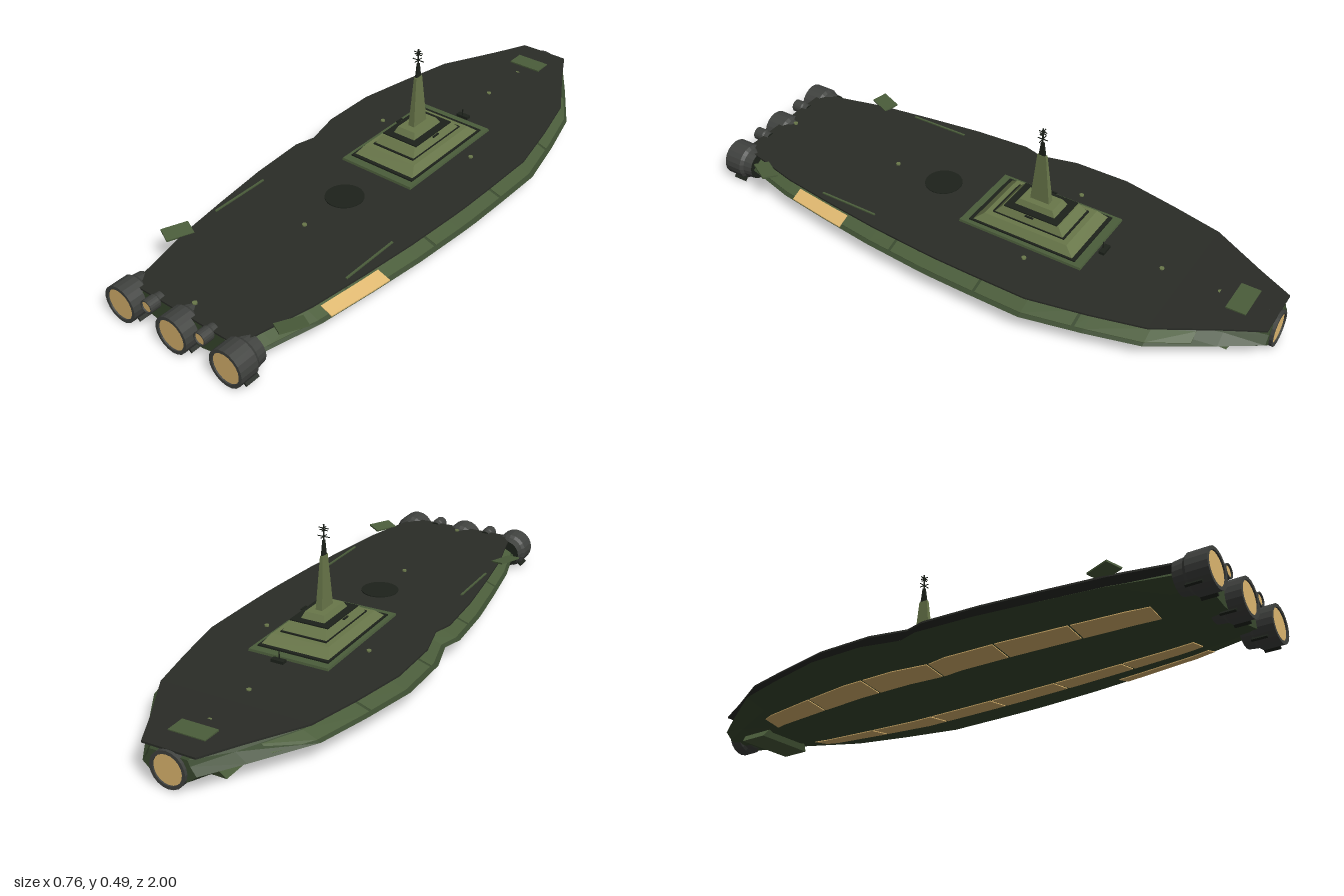
import * as THREE from 'three';

const mat = (color) => new THREE.MeshStandardMaterial({ color, flatShading: true, side: THREE.DoubleSide });
const DECK = mat(0x2a2c27), HULL = mat(0x3a4a2f), GREEN = mat(0x4b5d3b), LIGHT = mat(0x69774a),
  DARK = mat(0x1d221b), METAL = mat(0x40423f), GLOW = mat(0xdfb870);

// Hull plan: z, half width on -x, half width on +x
const PLAN = [[-0.99, 0.09, 0.09], [-0.87, 0.17, 0.17], [-0.68, 0.29, 0.29], [-0.5, 0.338, 0.338],
  [-0.3, 0.382, 0.382], [-0.1, 0.382, 0.38], [0.03, 0.347, 0.377], [0.1, 0.368, 0.373], [0.3, 0.355, 0.357],
  [0.5, 0.327, 0.332], [0.7, 0.295, 0.302], [0.85, 0.255, 0.262], [0.95, 0.232, 0.237]];
// Half cross-section: fraction of half width, height
const LOWER = [[0.3, 0.025], [0.72, 0.045], [1, 0.067]];
const UPPER = [[0.7, 0.112], [0.78, 0.094], [1, 0.067]];

const lerp = (table, k, col) => {
  for (let i = 1; i < table.length; i++) {
    const a = table[i - 1], b = table[i];
    if (k <= b[0] || i === table.length - 1) return a[col] + (b[col] - a[col]) * (k - a[0]) / (b[0] - a[0]);
  }
};
const halfWidth = (z, side) => lerp(PLAN, z, side < 0 ? 1 : 2);

// Skin over rings of [x, y, z], counter-clockwise seen from +z, with closed ends
function loft(rings) {
  const pos = [], n = rings[0].length;
  const tri = (a, b, c) => pos.push(...a, ...b, ...c);
  for (let i = 0; i + 1 < rings.length; i++) for (let j = 0; j < n; j++) {
    const a = rings[i][j], b = rings[i][(j + 1) % n], c = rings[i + 1][(j + 1) % n], d = rings[i + 1][j];
    tri(a, b, c);
    tri(a, c, d);
  }
  const first = rings[0], last = rings[rings.length - 1];
  for (let j = 1; j + 1 < n; j++) {
    tri(first[0], first[j + 1], first[j]);
    tri(last[0], last[j], last[j + 1]);
  }
  const g = new THREE.BufferGeometry();
  g.setAttribute('position', new THREE.Float32BufferAttribute(pos, 3));
  g.computeVertexNormals();
  return g;
}

export function createModel() {
  const model = new THREE.Group();
  const add = (name, geo, material, x = 0, y = 0, z = 0, parent = model) => {
    const m = new THREE.Mesh(geo, material);
    m.name = name;
    m.position.set(x, y, z);
    parent.add(m);
    return m;
  };
  const box = (name, w, h, d, material, x, y, z, parent) =>
    add(name, new THREE.BoxGeometry(w, h, d), material, x, y, z, parent);
  const tube = (name, r0, r1, len, material, x, y, z, open = false, parent = model) =>
    add(name, new THREE.CylinderGeometry(r1, r0, len, 20, 1, open).rotateX(Math.PI / 2), material, x, y, z, parent);
  // Truncated pyramid standing on y0
  const tier = (name, y0, y1, bottom, top, material, z) => add(name, loft([[bottom, y0], [top, y1]].map(
    ([[w, d], y]) => [[-w, y, d], [w, y, d], [w, y, -d], [-w, y, -d]])), material, 0, 0, z);

  // Hull: flat keel, sharp side edges, sloping shoulders
  add('hull', loft(PLAN.map(([z, l, r]) => [
    ...LOWER.map(([f, y]) => [f * r, y, z]),
    ...[...UPPER].reverse().map(([f, y]) => [f * r, y, z]),
    ...UPPER.map(([f, y]) => [-f * l, y, z]),
    ...[...LOWER].reverse().map(([f, y]) => [-f * l, y, z])])), HULL);

  // Thin overhanging deck, rising a little at the bow
  add('deck', loft(PLAN.map(([z, l, r]) => {
    const y = 0.112 + 0.01 * Math.max(0, (-z - 0.6) / 0.4), f = z < -0.95 ? 1 : 0.9;
    return [[-f * l, y, z], [f * r, y, z], [f * r, y + 0.006, z], [-f * l, y + 0.006, z]];
  })), DECK);

  // Panels that follow the hull skin
  const panel = (name, profile, side, z0, z1, f0, f1, material, lift) => {
    const zs = [z0, ...PLAN.map((p) => p[0]).filter((z) => z > z0 && z < z1), z1];
    add(name, loft(zs.map((z) => {
      const w = halfWidth(z, side) * side, y0 = lerp(profile, f0, 1) + lift, y1 = lerp(profile, f1, 1) + lift;
      return [[f0 * w, y0, z], [f1 * w, y1, z], [f1 * w, y1 - lift, z], [f0 * w, y0 - lift, z]];
    })), material);
  };
  for (const side of [-1, 1]) {
    for (let i = 0; i < 6; i++) {
      const z = -0.72 + i * 0.25;
      panel('bellyLight', LOWER, side, z, z + 0.243, 0.36, 0.6, GLOW, -0.003);
    }
    for (let i = 0; i < 5; i++) {
      const z = -0.8 + i * 0.34;
      panel('sideArmour', UPPER, side, z, z + 0.33, 0.8, 0.96, GREEN, 0.002);
    }
  }
  panel('edgeLight', UPPER, 1, 0.43, 0.66, 0.86, 0.995, GLOW, 0.004);
  panel('lowerEdgeLight', LOWER, 1, 0.43, 0.76, 0.82, 0.985, GLOW, -0.003);
  for (const [z0, z1] of [[-0.66, -0.2], [-0.05, 0.36], [0.4, 0.74]])
    panel('shoulderLight', UPPER, 1, z0, z1, 0.73, 0.765, GLOW, 0.003);

  // Keel skid below the bow
  tier('keelSkid', 0.005, 0.03, [0.108, 0.05], [0.09, 0.06], GREEN, -0.83);

  // Stepped superstructure and tower
  const C = -0.155;
  tier('basePlate', 0.117, 0.126, [0.145, 0.23], [0.143, 0.228], GREEN, C);
  tier('baseRim', 0.126, 0.131, [0.128, 0.2], [0.128, 0.2], DARK, C);
  tier('lowerTier', 0.131, 0.157, [0.121, 0.187], [0.103, 0.155], LIGHT, C);
  tier('lowerLedge', 0.157, 0.161, [0.084, 0.135], [0.084, 0.135], DARK, C);
  tier('middleTier', 0.161, 0.187, [0.081, 0.128], [0.068, 0.105], LIGHT, C);
  tier('middleLedge', 0.187, 0.191, [0.07, 0.1], [0.07, 0.1], DARK, C);
  tier('upperTier', 0.191, 0.211, [0.043, 0.075], [0.035, 0.062], LIGHT, C);
  tier('tower', 0.211, 0.39, [0.012, 0.035], [0.005, 0.016], LIGHT, C);
  tier('towerHead', 0.39, 0.44, [0.004, 0.012], [0.003, 0.005], DARK, C);
  box('mast', 0.004, 0.055, 0.004, DARK, 0, 0.465, C);
  for (const [y, w] of [[0.452, 0.045], [0.473, 0.028], [0.48, 0.036]]) {
    box('mastBar', w, 0.002, 0.003, DARK, 0, y, C);
    box('mastBar', 0.003, 0.002, w * 0.8, DARK, 0, y, C);
  }
  for (const x of [-0.078, 0.078]) box('sensorArm', 0.006, 0.004, 0.03, DARK, x, 0.188, C);

  // Deck fittings
  add('landingDisc', new THREE.CylinderGeometry(0.065, 0.065, 0.004, 24), DARK, 0, 0.119, 0.235);
  box('bowHatch', 0.125, 0.008, 0.066, GREEN, 0, 0.125, -0.875);
  box('deckTurret', 0.045, 0.012, 0.02, DARK, 0.02, 0.122, -0.405);
  box('deckAntenna', 0.003, 0.035, 0.003, DARK, 0.02, 0.135, -0.4);
  for (const [x, z] of [[0, -0.8], [0, -0.6], [0, 0.43], [0, 0.9], [-0.19, -0.205], [0.19, -0.205]])
    add('deckLamp', new THREE.CylinderGeometry(0.008, 0.008, 0.006, 10), LIGHT, x, 0.12, z);
  for (const x of [-0.27, 0.27]) box('deckRail', 0.007, 0.006, 0.22, GREEN, x, 0.119, 0.44);

  // Tilted fins near the stern
  for (const [x, z, turn] of [[-0.285, 0.7, -0.4], [0.28, 0.8, -0.5]]) {
    const fin = box('sternFin', 0.055, 0.006, 0.09, GREEN, x, 0.122, z);
    fin.rotation.set(0, turn, Math.sign(x) * 0.16);
  }

  // Round thruster with a glowing face towards +z
  const thruster = (name, x, y, r, z0, z1) => {
    const g = new THREE.Group();
    g.name = name;
    g.position.set(x, y, 0);
    model.add(g);
    const len = z1 - z0, rim = r * 0.82;
    const profile = [[r * 0.8, z0], [r * 0.86, z0 + len * 0.3], [r, z0 + len * 0.4], [r, z1], [rim, z1], [rim, z1 - 0.008]];
    add('nozzle', new THREE.LatheGeometry(profile.map((p) => new THREE.Vector2(...p)), 20).rotateX(Math.PI / 2), METAL, 0, 0, 0, g);
    tube('glow', rim, rim, 0.006, GLOW, 0, 0, z1 - 0.008, false, g);
    tube('core', r * 0.8, r * 0.8, len * 0.5, DARK, 0, 0, z0 + len * 0.25, false, g);
    return g;
  };
  for (const x of [-0.215, 0, 0.215]) {
    const g = thruster('mainThruster', x, 0.067, 0.063, 0.89, 1);
    for (const s of [-1, 1]) {
      const clamp = box('clamp', 0.007, 0.022, 0.05, DARK, s * 0.044, -0.046, 0.95, g);
      clamp.rotation.z = s * Math.PI / 4;
    }
  }
  for (const x of [-0.108, 0.108]) thruster('smallThruster', x, 0.107, 0.023, 0.93, 0.99);

  // Bow thruster faces backwards
  thruster('bowThruster', 0, 0.067, 0.06, 0.93, 1).rotation.y = Math.PI;
  return model;
}
